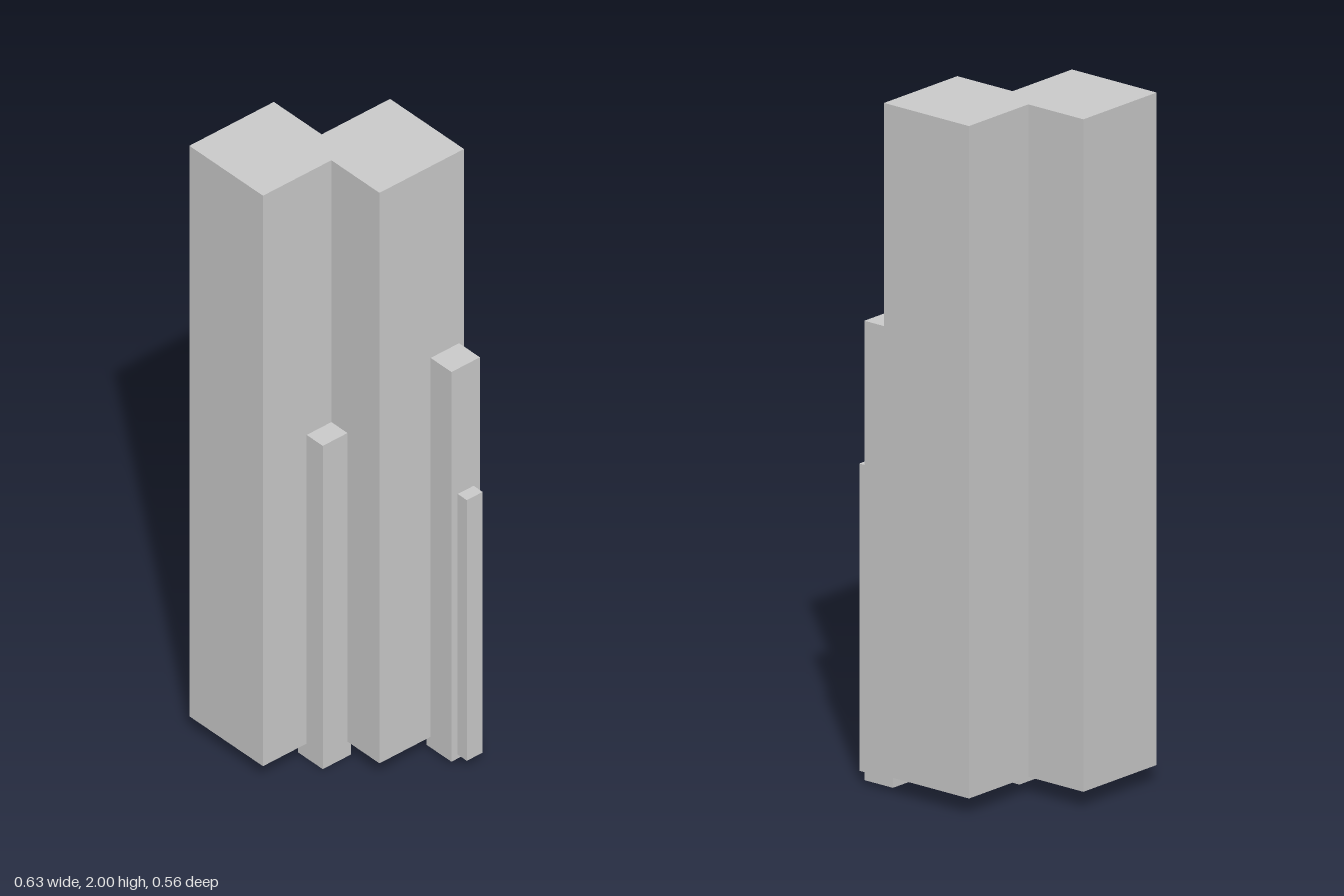
import * as THREE from 'three';

const material = new THREE.MeshStandardMaterial({ color: 0xcccccc, flatShading: true });

// Square column given by its centre in plan, width and height range
function column(name, x, z, width, bottom, top) {
  const mesh = new THREE.Mesh(new THREE.BoxGeometry(width, top - bottom, width), material);
  mesh.position.set(x, (bottom + top) / 2, z);
  mesh.name = name;
  return mesh;
}

export function createModel() {
  const model = new THREE.Group();
  model.name = 'tower';

  // Main tower: two overlapping square blocks merged into one stepped plan (x, -z)
  const plan = new THREE.Shape([
    [-0.318, -0.278], [-0.01, -0.278], [-0.01, -0.028], [0.191, -0.028],
    [0.191, 0.281], [-0.118, 0.281], [-0.118, 0.031], [-0.318, 0.031],
  ].map(([x, y]) => new THREE.Vector2(x, y)));
  const core = new THREE.ExtrudeGeometry(plan, { depth: 1.95, bevelEnabled: false });
  core.rotateX(-Math.PI / 2);
  core.translate(0, 0.05, 0);
  const mainTower = new THREE.Mesh(core, material);
  mainTower.name = 'mainTower';
  model.add(mainTower);

  // Slim columns set against the tower, reaching a little below it
  model.add(
    column('frontColumn', 0.006, 0.067, 0.103, 0, 1.105),
    column('sideColumn', 0.226, -0.211, 0.104, 0.013, 1.345),
    column('outerColumn', 0.287, -0.211, 0.058, 0.026, 0.917),
  );
  return model;
}
